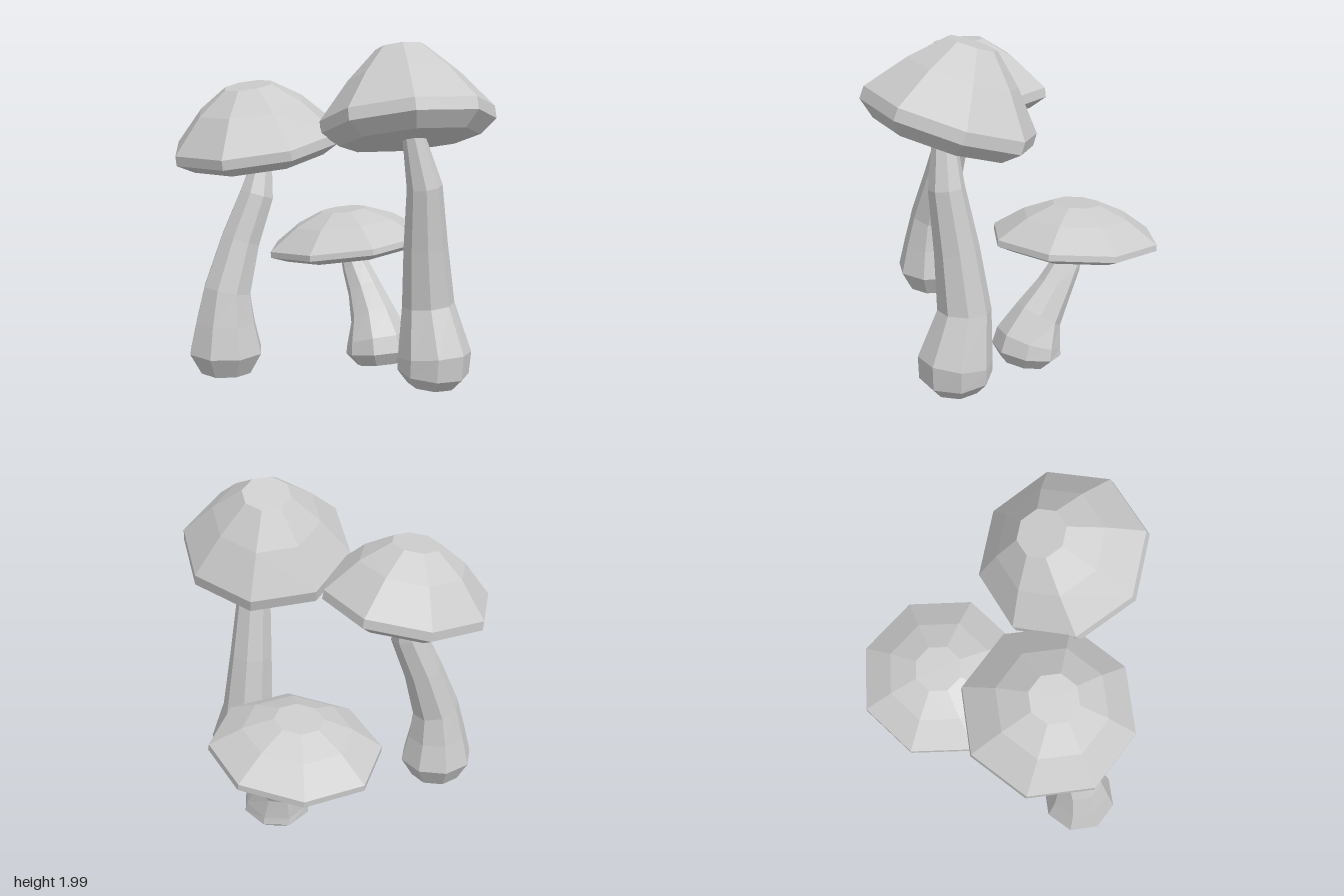
import * as THREE from 'three';

const SIDES = 8;
const UP = new THREE.Vector3(0, 1, 0);
const material = new THREE.MeshStandardMaterial({ color: 0xcccccc, flatShading: true });

// Faceted cap: flat underside, bevel, thin rim, then a two-step dome with a flat top
function makeCap({ center, lean, bevel, rim, shoulder, height, turn }) {
  const points = [
    new THREE.Vector2(0, -bevel),
    new THREE.Vector2(0.39, -bevel),
    new THREE.Vector2(0.487, 0),
    new THREE.Vector2(0.485, rim),
    new THREE.Vector2(0.31, shoulder),
    new THREE.Vector2(0.14, height),
    new THREE.Vector2(0, height),
  ];
  const geometry = new THREE.LatheGeometry(points, SIDES, THREE.MathUtils.degToRad(turn));
  const cap = new THREE.Mesh(geometry, material);
  cap.name = 'cap';
  cap.position.set(...center);
  const axis = new THREE.Vector3(lean[0], 1, lean[1]).normalize();
  cap.quaternion.setFromUnitVectors(UP, axis);
  return cap;
}

// Bent stem: rings of [x, y, z, radius] set square to the path, with a narrower foot below
function makeStem({ path, foot, turn }) {
  const centers = path.map(([x, y, z]) => new THREE.Vector3(x, y, z));
  const radii = path.map((p) => p[3]);
  const down = centers[0].clone().sub(centers[1]).setLength(foot);
  centers.unshift(centers[0].clone().add(down));
  radii.unshift(radii[0] * 0.69);

  const last = centers.length - 1;
  const start = THREE.MathUtils.degToRad(turn);
  const positions = [];
  const index = [];
  centers.forEach((c, i) => {
    const tangent = centers[Math.min(i + 1, last)].clone()
      .sub(centers[Math.max(i - 1, 0)]).normalize();
    const q = new THREE.Quaternion().setFromUnitVectors(UP, tangent);
    for (let s = 0; s < SIDES; s++) {
      const a = start + (s / SIDES) * Math.PI * 2;
      const p = new THREE.Vector3(Math.sin(a), 0, Math.cos(a))
        .multiplyScalar(radii[i]).applyQuaternion(q).add(c);
      positions.push(p.x, p.y, p.z);
    }
  });
  // side faces
  for (let i = 0; i < last; i++) {
    for (let s = 0; s < SIDES; s++) {
      const a = i * SIDES + s;
      const b = i * SIDES + (s + 1) % SIDES;
      index.push(a, b, b + SIDES, a, b + SIDES, a + SIDES);
    }
  }
  // end faces
  const top = last * SIDES;
  for (let s = 1; s < SIDES - 1; s++) {
    index.push(0, s + 1, s, top, top + s, top + s + 1);
  }
  const geometry = new THREE.BufferGeometry();
  geometry.setAttribute('position', new THREE.Float32BufferAttribute(positions, 3));
  geometry.setIndex(index);
  geometry.computeVertexNormals();
  const stem = new THREE.Mesh(geometry, material);
  stem.name = 'stem';
  return stem;
}

function makeMushroom(name, cap, stem) {
  const mushroom = new THREE.Group();
  mushroom.name = name;
  mushroom.add(makeCap(cap), makeStem(stem));
  return mushroom;
}

export function createModel() {
  const model = new THREE.Group();
  model.name = 'mushroomCluster';

  model.add(makeMushroom('tallFrontMushroom', {
    center: [0.33, 1.535, 0.43], lean: [0.05, -0.345], turn: 22.5,
    bevel: 0.08, rim: 0.07, shoulder: 0.28, height: 0.44,
  }, {
    foot: 0.075, turn: 22.5,
    path: [
      [0.48, 0.12, 0.48, 0.205], [0.485, 0.22, 0.485, 0.21], [0.475, 0.5, 0.42, 0.15],
      [0.44, 0.85, 0.445, 0.125], [0.405, 1.2, 0.485, 0.1], [0.34, 1.5, 0.46, 0.06],
    ],
  }));

  model.add(makeMushroom('leftSlantedMushroom', {
    center: [-0.355, 1.385, -0.09], lean: [-0.15, 0], turn: 0,
    bevel: 0.06, rim: 0.055, shoulder: 0.24, height: 0.355,
  }, {
    foot: 0.12, turn: 0,
    path: [
      [-0.595, 0.25, 0, 0.215], [-0.595, 0.42, 0, 0.175], [-0.58, 0.6, -0.005, 0.14],
      [-0.49, 0.88, -0.02, 0.115], [-0.39, 1.13, -0.02, 0.1], [-0.335, 1.36, -0.05, 0.05],
    ],
  }));

  model.add(makeMushroom('smallBackMushroom', {
    center: [0.355, 0.685, -0.39], lean: [-0.084, -0.105], turn: -7,
    bevel: 0.04, rim: 0.035, shoulder: 0.15, height: 0.22,
  }, {
    foot: 0.07, turn: 10,
    path: [
      [0.4, 0.1, -0.04, 0.2], [0.4, 0.17, -0.055, 0.19], [0.4, 0.3, -0.12, 0.14],
      [0.395, 0.44, -0.23, 0.105], [0.38, 0.56, -0.32, 0.085], [0.355, 0.69, -0.39, 0.055],
    ],
  }));

  return model;
}
